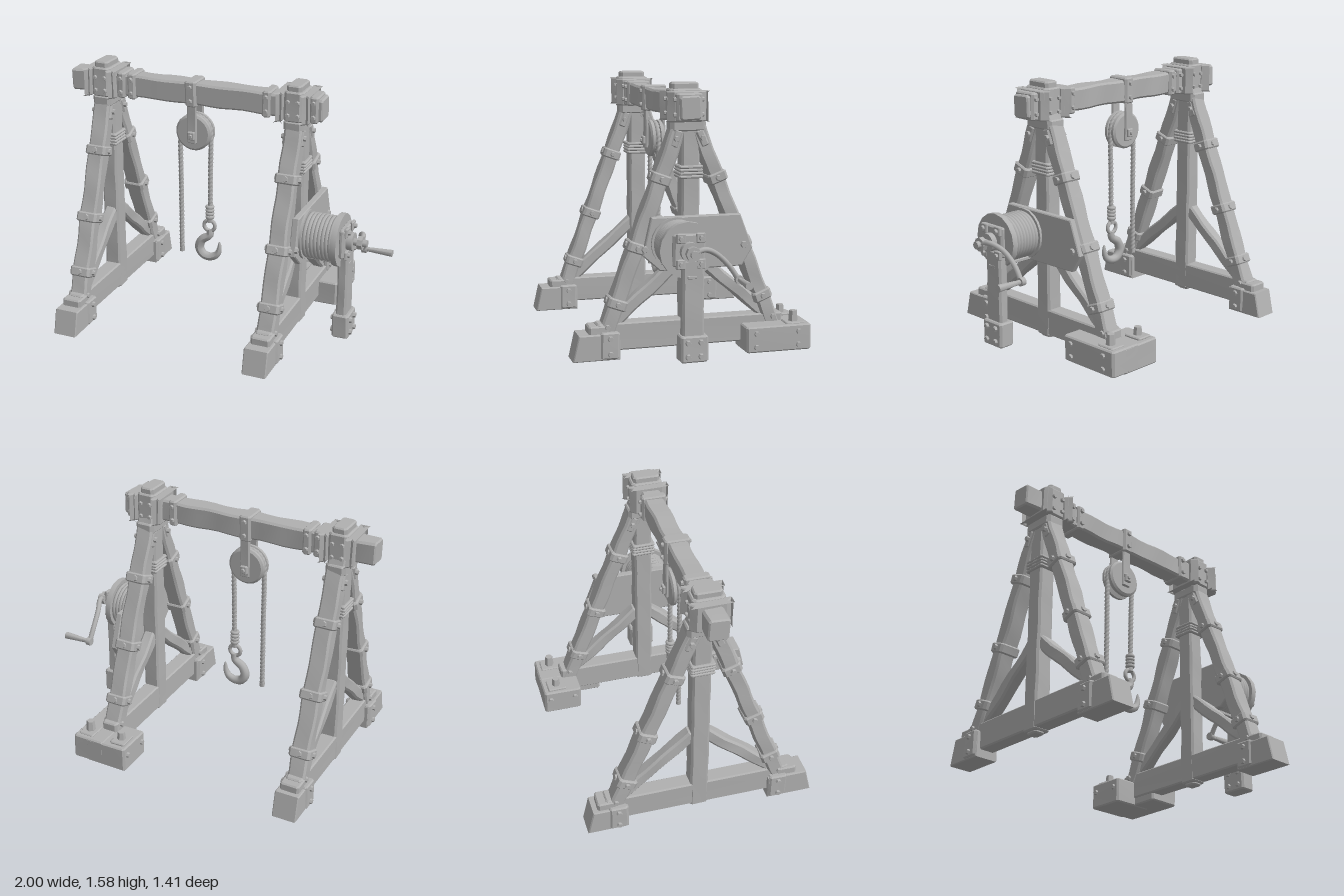
import * as THREE from 'three';
import { toCreasedNormals } from 'three/addons/utils/BufferGeometryUtils.js';

const V = (x, y, z) => new THREE.Vector3(x, y, z);
const UP = V(0, 1, 0);

export function createModel() {
  const root = new THREE.Group();
  const grey = new THREE.MeshStandardMaterial({ color: 0xb0b0b0 });
  grey.name = 'weathered grey';
  let seed = 1;

  function add(name, geo, pos = V(0, 0, 0), parent = root) {
    const m = new THREE.Mesh(geo, grey);
    m.name = name;
    m.position.copy(pos);
    parent.add(m);
    return m;
  }

  // Chamfered bar along y, its faces slightly uneven like hewn timber
  function hewn(w, h, d, c = 0.012, wobble = 0.003) {
    const a = w / 2, b = d / 2;
    const s = new THREE.Shape([[-a + c, -b], [a - c, -b], [a, -b + c], [a, b - c],
      [a - c, b], [-a + c, b], [-a, b - c], [-a, -b + c]].map(p => new THREE.Vector2(...p)));
    const e = Math.min(0.008, c * 0.7);
    const g = new THREE.ExtrudeGeometry(s, {
      depth: h - 2 * e, steps: Math.max(1, Math.round(h / 0.07)),
      bevelEnabled: true, bevelThickness: e, bevelSize: e, bevelOffset: -e, bevelSegments: 1 });
    g.translate(0, 0, e - h / 2);
    const p = g.attributes.position, k = seed++ * 1.7;
    for (let i = 0; i < p.count; i++) {
      const x = p.getX(i), y = p.getY(i), z = p.getZ(i);
      p.setX(i, x + wobble * Math.sin(z * 19 + k + Math.sign(y)));
      p.setY(i, y + wobble * Math.sin(z * 23 + 2 * k + Math.sign(x)));
    }
    g.rotateX(-Math.PI / 2);
    return toCreasedNormals(g, 0.4);
  }

  function beam(name, from, to, w, d, parent) {
    const dir = to.clone().sub(from);
    const m = add(name, hewn(w, dir.length(), d), from.clone().lerp(to, 0.5), parent);
    m.quaternion.setFromUnitVectors(UP, dir.normalize());
    return m;
  }

  // Block given by its limits on each axis
  function block(name, x0, x1, y0, y1, z0, z1, parent, c = 0.012) {
    return add(name, hewn(x1 - x0, y1 - y0, z1 - z0, c, 0.0015),
      V((x0 + x1) / 2, (y0 + y1) / 2, (z0 + z1) / 2), parent);
  }

  function rod(name, from, to, r, parent, sides = 12, r2 = r) {
    const dir = to.clone().sub(from);
    const g = new THREE.CylinderGeometry(r2, r, dir.length(), sides);
    const m = add(name, toCreasedNormals(g, 0.7), from.clone().lerp(to, 0.5), parent);
    m.quaternion.setFromUnitVectors(UP, dir.normalize());
    return m;
  }

  function bolt(pos, dir, parent, r = 0.018, h = 0.016) {
    rod('bolt', pos, pos.clone().addScaledVector(dir, h), r, parent, 6, r * 0.8);
  }

  function sideBolts(x, half, y, z, parent) {
    for (const s of [-1, 1]) bolt(V(x + s * half, y, z), V(s, 0, 0), parent);
  }

  // A-shaped trestle around local x = 0
  function trestle(name, x, blockFoot) {
    const f = new THREE.Group();
    f.name = name;
    f.position.x = x;
    root.add(f);

    block('sill', -0.05, 0.05, 0.05, 0.21, -0.56, 0.56, f);
    block('centrePost', -0.052, 0.052, 0.04, 1.4, -0.048, 0.06, f);
    block('postTenon', -0.035, 0.035, 0.025, 0.06, -0.035, 0.045, f);
    for (let i = 0; i < 4; i++) {
      block('postLashing', -0.066, 0.066, 1.03 + i * 0.019, 1.048 + i * 0.019, -0.064, 0.078, f, 0.008);
    }
    for (const s of [1, -1]) {
      const legAt = y => V(0, y, s > 0 ? 0.08 + (1.3 - y) * 0.367 : -0.045 - (1.3 - y) * 0.396);
      const dir = legAt(1).sub(legAt(0)).normalize();
      beam('leg', legAt(0.08), legAt(1.38), 0.108, 0.09, f);
      beam('brace', V(0, 0.2, s * 0.47), V(0, 0.58, s * 0.03), 0.075, 0.075, f);
      // Iron clamps on the leg
      for (const y of [0.32, 0.64, 1.03]) {
        const c = legAt(y);
        const m = add('legClamp', hewn(0.135, 0.06, 0.115, 0.014, 0.002), c, f);
        m.quaternion.setFromUnitVectors(UP, dir);
        sideBolts(0, 0.066, c.y, c.z, f);
        const out = V(0, -dir.z * s, dir.y * s);
        bolt(c.clone().addScaledVector(out, 0.056), out, f, 0.02, 0.01);
      }
      const top = legAt(1.26);
      const strap = add('topStrap', hewn(0.122, 0.1, 0.05, 0.01, 0.002), top, f);
      strap.quaternion.setFromUnitVectors(UP, dir);
      sideBolts(0, 0.06, top.y, top.z, f);
      // Sloped end foot with bolted cheek plates
      if (s > 0 || !blockFoot) {
        const e = s > 0 ? 0.705 : 0.675;
        const sh = new THREE.Shape([[0.43, 0.002], [e, 0.002], [e - 0.035, 0.155], [0.43, 0.155]]
          .map(p => new THREE.Vector2(p[0], p[1])));
        const g = new THREE.ExtrudeGeometry(sh, { depth: 0.138, bevelThickness: 0.006,
          bevelSize: 0.006, bevelOffset: -0.006, bevelSegments: 1 });
        g.translate(0, 0, -0.069).rotateY(-Math.PI / 2);
        add('foot', g, V(0, 0, 0), f).rotation.y = s > 0 ? 0 : Math.PI;
        block('footBand', -0.085, 0.085, 0.01, 0.165, s * 0.49 - 0.055, s * 0.49 + 0.055, f);
        for (const y of [0.04, 0.13]) sideBolts(0, 0.083, y, s * 0.49, f);
        block('toeWedge', -0.06, 0.06, 0.14, 0.2, s * 0.55 - 0.06, s * 0.55 + 0.06, f);
      }
      sideBolts(0, 0.052, 0.19, s * 0.5, f);
    }

    // Saddle and collars holding the crossbeam
    block('saddle', -0.045, 0.045, 1.3, 1.575, -0.045, 0.115, f, 0.015);
    block('saddleBand', -0.062, 0.062, 1.3, 1.36, -0.085, 0.125, f, 0.02);
    block('saddleStrap', -0.06, 0.06, 1.36, 1.54, -0.06, 0.13, f, 0.02);
    for (const s of [-1, 1]) {
      block('beamCollar', s * 0.08 - 0.017, s * 0.08 + 0.017, 1.355, 1.53, -0.08, 0.15, f, 0.035);
      for (const y of [1.4, 1.48]) {
        bolt(V(s * 0.03, y, 0.128), V(0, 0, 1), f, 0.014);
        bolt(V(s * 0.03, y, -0.058), V(0, 0, -1), f, 0.014);
      }
    }
  }
  trestle('plainTrestle', -0.79, false);
  trestle('winchTrestle', 0.45, true);

  // Weighted rear foot of the winch trestle
  block('rearFootInner', 0.26, 0.53, 0, 0.155, -0.7, -0.46);
  block('rearFootOuter', 0.41, 0.62, 0.005, 0.16, -0.7, -0.3);
  block('rearFootPlate', 0.28, 0.38, 0.15, 0.168, -0.67, -0.55, root, 0.008);
  block('rearFootPlate', 0.5, 0.6, 0.15, 0.168, -0.67, -0.55, root, 0.008);
  bolt(V(0.33, 0.16, -0.61), UP, root, 0.028, 0.055);
  bolt(V(0.55, 0.16, -0.61), UP, root, 0.03, 0.07);
  for (const z of [-0.36, -0.62]) for (const y of [0.04, 0.12]) bolt(V(0.617, y, z), V(1, 0, 0), root);
  for (const z of [-0.5, -0.66]) bolt(V(0.262, 0.1, z), V(-1, 0, 0), root);

  // Crossbeam and its iron bands
  beam('crossbeam', V(-1, 1.44, 0.04), V(0.62, 1.44, 0.04), 0.134, 0.12);
  for (const x of [-0.66, -0.59, -0.2, 0.28, 0.57]) {
    const w = x === -0.2 ? 0.036 : 0.026;
    block('beamBand', x - w, x + w, 1.362, 1.52, -0.035, 0.115);
    for (const y of [1.4, 1.485]) {
      bolt(V(x, y, 0.113), V(0, 0, 1), root, 0.015);
      bolt(V(x, y, -0.033), V(0, 0, -1), root, 0.015);
    }
  }

  // Pulley with hanger straps
  const px = -0.2, py = 1.19, pz = 0.035;
  const wheel = new THREE.LatheGeometry([[0, -0.045], [0.1, -0.045], [0.113, -0.035], [0.113, -0.018],
    [0.088, -0.008], [0.088, 0.008], [0.113, 0.018], [0.113, 0.035], [0.1, 0.045], [0, 0.045]]
    .map(p => new THREE.Vector2(...p)), 28);
  wheel.rotateX(Math.PI / 2);
  add('pulleyWheel', toCreasedNormals(wheel, 0.6), V(px, py, pz));
  for (const s of [-1, 1]) {
    const z = pz + s * 0.054;
    block('pulleyStrap', px - 0.03, px + 0.03, 1.13, 1.38, z - 0.01, z + 0.01, root, 0.006);
    block('pulleyNut', px - 0.023, px + 0.023, 1.155, 1.205, z + s * 0.014 - 0.012, z + s * 0.014 + 0.012, root, 0.006);
    bolt(V(px, 1.18, z + s * 0.024), V(0, 0, s), root, 0.014, 0.012);
  }

  // Twisted rope: a tube whose radius spirals
  function rope(name, path, n, radius) {
    const g = new THREE.TubeGeometry(path, n, 1, 10, false);
    const p = g.attributes.position, c = V(0, 0, 0), v = V(0, 0, 0);
    for (let i = 0; i <= n; i++) {
      path.getPointAt(i / n, c);
      for (let j = 0; j <= 10; j++) {
        const k = i * 11 + j;
        v.fromBufferAttribute(p, k).sub(c).multiplyScalar(radius(i / n, j / 10)).add(c);
        p.setXYZ(k, v.x, v.y, v.z);
      }
    }
    g.computeVertexNormals();
    return add(name, g);
  }
  const arc = [];
  for (let i = 0; i <= 8; i++) {
    const a = Math.PI * (1 - i / 8);
    arc.push(V(px + 0.099 * Math.cos(a), py + 0.099 * Math.sin(a), pz));
  }
  const line = new THREE.CatmullRomCurve3([V(-0.302, 0.38, pz), V(-0.301, 0.8, pz), ...arc,
    V(-0.104, 0.95, pz), V(-0.107, 0.68, pz)]);
  rope('hoistRope', line, 200, (t, u) => 0.0145 + 0.002 * Math.sin(2 * (Math.PI * 2 * u + t * 190)));
  rod('ropeEnd', V(-0.302, 0.375, pz), V(-0.302, 0.4, pz), 0.016);

  // Knot, ring and hook
  const hx = -0.11;
  for (let i = 0; i < 4; i++) {
    const k = add('ropeKnot', new THREE.TorusGeometry(0.017, 0.012, 8, 16), V(hx, 0.64 + i * 0.022, pz));
    k.rotation.x = Math.PI / 2;
  }
  rod('hookSwivel', V(hx, 0.605, pz), V(hx, 0.64, pz), 0.02);
  add('hookRing', new THREE.TorusGeometry(0.036, 0.012, 10, 24), V(hx - 0.003, 0.58, pz));
  const bend = new THREE.CatmullRomCurve3([V(-0.108, 0.555, pz), V(-0.112, 0.515, pz), V(-0.165, 0.475, pz),
    V(-0.182, 0.42, pz), V(-0.155, 0.377, pz), V(-0.11, 0.368, pz), V(-0.065, 0.39, pz),
    V(-0.048, 0.43, pz), V(-0.046, 0.48, pz)]);
  rope('hook', bend, 40, t => 0.002 + 0.027 * Math.pow(Math.sin(Math.PI * (0.16 + 0.84 * t)), 0.6));

  // Winch board bolted to the trestle
  const boardShape = new THREE.Shape([[0.25, 0.82], [-0.28, 0.82], [-0.355, 0.62], [-0.29, 0.515],
    [0.2, 0.51], [0.3, 0.6]].map(p => new THREE.Vector2(...p)));
  const board = new THREE.ExtrudeGeometry(boardShape, { depth: 0.03, bevelThickness: 0.005,
    bevelSize: 0.006, bevelOffset: -0.006, bevelSegments: 1 });
  board.rotateY(-Math.PI / 2);
  add('winchBoard', board, V(0.54, 0, 0));
  for (const z of [0.29, -0.3]) bolt(V(0.543, 0.64, z), V(1, 0, 0), root, 0.022);

  // Drum with rope coils
  const wy = 0.67, wz = 0.105;
  const at = (x, y = wy, z = wz) => V(x, y, z);
  rod('drumCore', at(0.53), at(0.76), 0.12, root, 28);
  rod('innerFlange', at(0.545), at(0.56), 0.15, root, 20);
  rod('outerFlange', at(0.74), at(0.775), 0.16, root, 16);
  for (let i = 0; i < 8; i++) {
    const t = add('ropeCoil', new THREE.TorusGeometry(0.124, 0.015, 8, 32), at(0.572 + i * 0.0225));
    t.rotation.y = Math.PI / 2;
  }
  block('stayBar', 0.5, 0.82, 0.515, 0.535, 0.06, 0.12, root, 0.005);

  // Bearing plate, axle and hub
  block('bearingPlate', 0.77, 0.805, 0.585, 0.765, 0.01, 0.195);
  for (const y of [0.6, 0.745]) for (const z of [0.04, 0.155]) {
    block('boltPad', 0.8, 0.82, y - 0.027, y + 0.027, z - 0.027, z + 0.027, root, 0.006);
    bolt(V(0.818, y, z), V(1, 0, 0), root, 0.016);
  }
  rod('hub', at(0.79), at(0.84), 0.055, root, 16);
  rod('axle', at(0.83), at(0.92), 0.022, root, 12);
  rod('axleNut', at(0.865), at(0.895), 0.042, root, 8);

  // Winch post and its shoe
  block('winchPost', 0.755, 0.818, 0.06, 0.62, 0.02, 0.145);
  block('winchPostShoe', 0.735, 0.838, 0.045, 0.195, 0.0, 0.16);
  for (const y of [0.08, 0.16]) for (const z of [0.045, 0.12]) sideBolts(0.787, 0.05, y, z);

  // Crank arm and handle
  const crank = new THREE.CatmullRomCurve3([V(0.885, wy, wz), V(0.875, 0.69, 0.04), V(0.84, 0.655, -0.04),
    V(0.825, 0.58, -0.12), V(0.825, 0.5, -0.175)]);
  add('crankArm', new THREE.TubeGeometry(crank, 24, 0.016, 8));
  rod('crankPin', V(0.81, 0.5, -0.178), V(0.89, 0.5, -0.178), 0.014);
  rod('crankEye', V(0.81, 0.5, -0.178), V(0.84, 0.5, -0.178), 0.025);
  rod('crankHandle', V(0.87, 0.5, -0.178), V(1, 0.5, -0.178), 0.015, root, 14, 0.022);

  return root;
}
